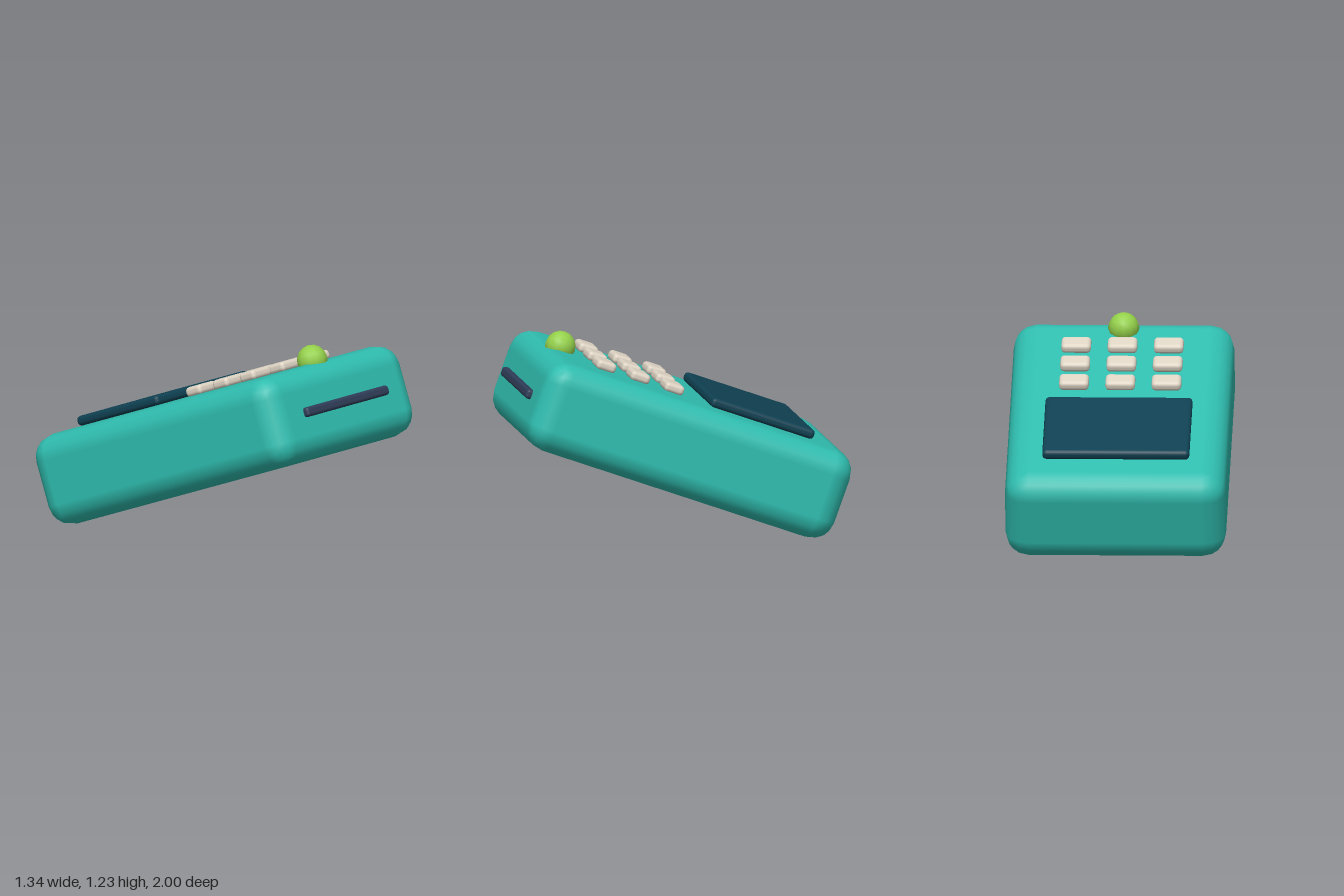
import * as THREE from 'three';
import { RoundedBoxGeometry } from 'three/addons/geometries/RoundedBoxGeometry.js';

const material = (name, color) => {
  const m = new THREE.MeshStandardMaterial({ color });
  m.name = name;
  return m;
};

export function createModel() {
  const teal = material('teal casing', 0x2fbdaf);
  const navy = material('dark screen', 0x0f4152);
  const cream = material('cream keys', 0xded4c4);
  const slate = material('slate slot', 0x2f3d58);
  const lime = material('lime light', 0x94d04a);

  // Everything sits on one casing tilted so that its front end is raised
  const device = new THREE.Group();
  device.name = 'tiltedDevice';
  device.position.y = 0.568;
  device.rotation.x = -THREE.MathUtils.degToRad(20);

  const add = (name, geometry, mat, x, y, z) => {
    const mesh = new THREE.Mesh(geometry, mat);
    mesh.name = name;
    mesh.position.set(x, y, z);
    device.add(mesh);
  };

  add('casing', new RoundedBoxGeometry(1.335, 0.562, 2.008, 2, 0.142), teal, 0, 0, 0);
  add('screen', new RoundedBoxGeometry(0.89, 0.06, 0.675, 2, 0.025), navy, 0, 0.312, -0.392);
  add('cardSlot', new RoundedBoxGeometry(0.78, 0.06, 0.06, 2, 0.02), slate, 0, 0.004, 1.01);

  // Keypad, three by three
  const key = new RoundedBoxGeometry(0.18, 0.06, 0.125, 2, 0.025);
  for (let row = 0; row < 3; row++) {
    for (let col = 0; col < 3; col++) {
      add(`key${row * 3 + col + 1}`, key, cream, (col - 1) * 0.28, 0.307, 0.17 + row * 0.223);
    }
  }

  // Round light at the raised end
  add('indicatorLight', new THREE.SphereGeometry(0.095, 12, 8), lime, 0, 0.297, 0.842);

  const model = new THREE.Group();
  model.name = 'cardTerminal';
  model.add(device);
  return model;
}
